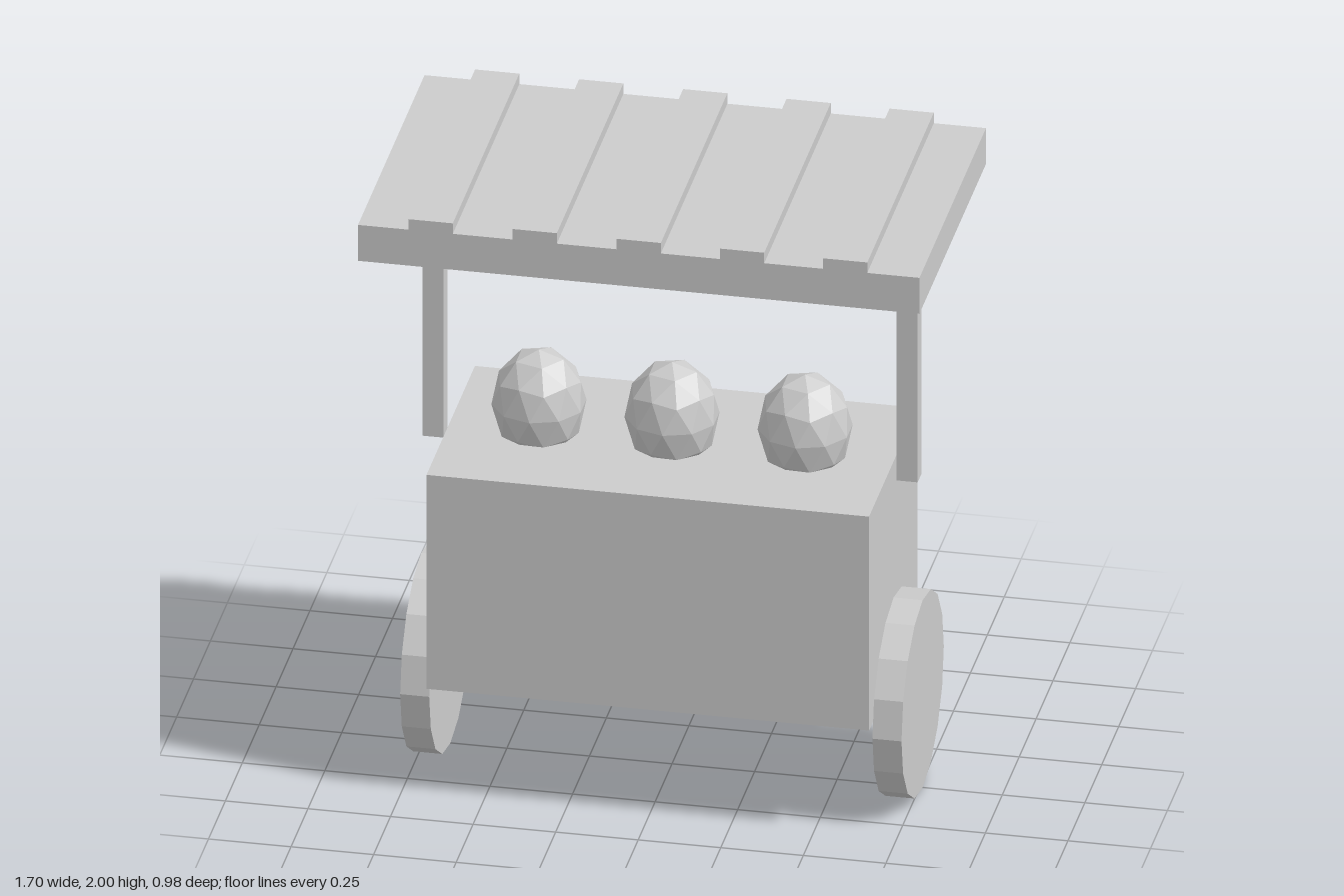
import * as THREE from 'three';

export function createModel() {
  const model = new THREE.Group();
  const grey = new THREE.MeshStandardMaterial({ color: 0xcccccc });
  grey.name = 'light grey';
  grey.flatShading = true;

  const add = (name, geometry, x, y, z) => {
    const mesh = new THREE.Mesh(geometry, grey);
    mesh.name = name;
    mesh.position.set(x, y, z);
    model.add(mesh);
    return mesh;
  };

  // Cart body
  add('cartBody', new THREE.BoxGeometry(1.34, 0.715, 0.716), 0, 0.7225, 0);

  // Wheels and roof posts, mirrored on both sides
  const wheel = new THREE.CylinderGeometry(0.313, 0.313, 0.088, 16).rotateZ(Math.PI / 2);
  const post = new THREE.BoxGeometry(0.064, 0.81, 0.06);
  for (const [side, s] of [['left', 1], ['right', -1]]) {
    add(side + 'Wheel', wheel, s * 0.715, 0.315, 0);
    add(side + 'Post', post, s * 0.718, 1.441, 0);
  }

  // Faceted goods, standing with a vertex upward and half sunk in the body
  const mound = new THREE.IcosahedronGeometry(1, 1)
    .rotateZ(-Math.atan(2 / (1 + Math.sqrt(5))))
    .scale(0.142, 0.175, 0.142);
  for (const x of [-0.403, 0, 0.403]) add('goods', mound, x, 1.17, 0);

  // Roof: one profile with five raised ribs, extruded front to back
  const bottom = 1.845, deck = 1.965, top = 2, half = 0.85, rib = 0.067;
  const roof = new THREE.Shape();
  roof.moveTo(-half, bottom);
  roof.lineTo(half, bottom);
  roof.lineTo(half, deck);
  for (const x of [0.625, 0.313, 0, -0.315, -0.63]) {
    roof.lineTo(x + rib, deck);
    roof.lineTo(x + rib, top);
    roof.lineTo(x - rib, top);
    roof.lineTo(x - rib, deck);
  }
  roof.lineTo(-half, deck);
  roof.closePath();
  const depth = 0.984;
  add('ribbedRoof', new THREE.ExtrudeGeometry(roof, { depth, bevelEnabled: false }), 0, 0, -depth / 2);

  return model;
}
